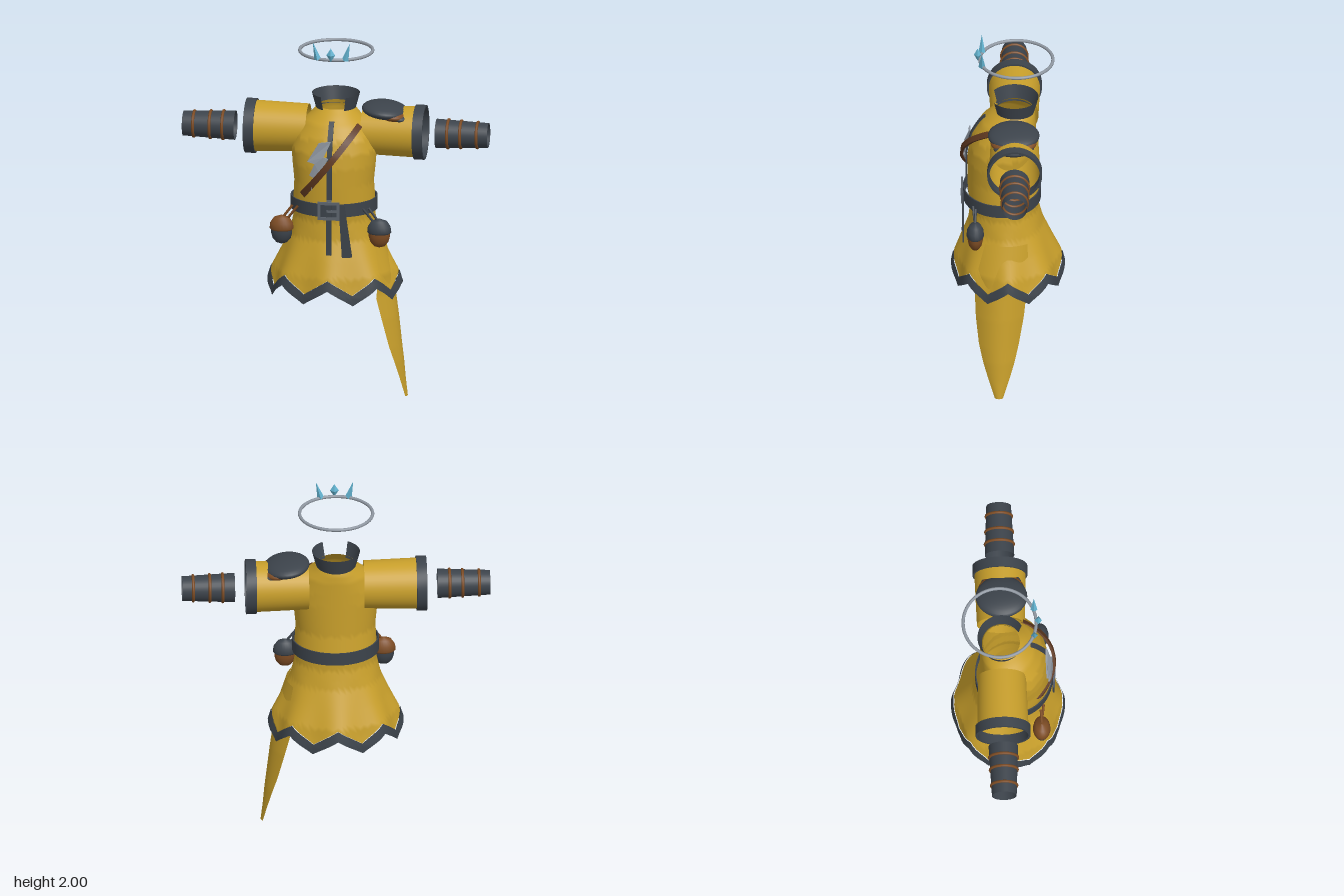
import * as THREE from 'three';
import { toCreasedNormals } from 'three/addons/utils/BufferGeometryUtils.js';
import { ParametricGeometry } from 'three/addons/geometries/ParametricGeometry.js';

const mat = (name, color) => {
  const m = new THREE.MeshStandardMaterial({ color, side: THREE.DoubleSide });
  m.name = name;
  return m;
};

// linear lookup in rows of [y, a, b, ...] sorted by falling y
function lookup(rows, y) {
  let i = 0;
  while (i < rows.length - 2 && y < rows[i + 1][0]) i++;
  const a = rows[i], b = rows[i + 1];
  const t = THREE.MathUtils.clamp((a[0] - y) / (a[0] - b[0]), 0, 1);
  return a.map((v, k) => v + (b[k] - v) * t);
}

// robe sections: y, half width, front z, back z
const ROBE = [
  [1.6, 0.1, 0.065, -0.135], [1.57, 0.125, 0.1, -0.145], [1.52, 0.178, 0.15, -0.15],
  [1.45, 0.215, 0.19, -0.15], [1.38, 0.232, 0.21, -0.15], [1.3, 0.226, 0.22, -0.15],
  [1.2, 0.216, 0.22, -0.15], [1.1, 0.222, 0.218, -0.165], [1.0, 0.222, 0.205, -0.165],
  [0.9, 0.245, 0.215, -0.19], [0.8, 0.287, 0.25, -0.235], [0.7, 0.333, 0.283, -0.28],
  [0.6, 0.36, 0.3, -0.3], [0.5, 0.375, 0.305, -0.305],
];

// point on the robe; the skirt has eight folds
function robePoint(angle, y, out, target) {
  const [, rx, zf, zb] = lookup(ROBE, y);
  const fold = 1 + 0.04 * THREE.MathUtils.clamp((0.95 - y) / 0.3, 0, 1) * Math.cos(8 * angle);
  target.set((rx * fold + out) * Math.sin(angle), y,
    (zf + zb) / 2 + ((zf - zb) / 2 * fold + out) * Math.cos(angle));
}

// front surface depth of the robe
function robeZ(x, y) {
  const [, rx, zf, zb] = lookup(ROBE, y);
  return (zf + zb) / 2 + (zf - zb) / 2 * Math.sqrt(Math.max(0, 1 - (x / rx) ** 2));
}

// zigzag lower edge with eight points
function hemY(angle) {
  const p = ((angle * 8 / (2 * Math.PI)) % 1 + 1) % 1;
  return 0.642 - 0.087 * (1 - Math.abs(2 * p - 1));
}

// straight strap seen from the front, with depth given by a rule
function strap(a, b, w0, w1, thick, zRule) {
  const len = Math.hypot(b[0] - a[0], b[1] - a[1]);
  const nx = -(b[1] - a[1]) / len, ny = (b[0] - a[0]) / len;
  const corners = [[-1, 0], [1, 0], [1, 1], [-1, 1], [-1, 0]];
  const geo = new ParametricGeometry((u, v, p) => {
    const [side, depth] = corners[Math.round(u * 4)] ;
    const w = side * (w0 + (w1 - w0) * v) / 2;
    const x = a[0] + (b[0] - a[0]) * v + nx * w, y = a[1] + (b[1] - a[1]) * v + ny * w;
    p.set(x, y, zRule(x, y, v) - depth * thick);
  }, 4, 28);
  return toCreasedNormals(geo, 0.6);
}

export function createModel() {
  const root = new THREE.Group();
  root.name = 'outfit';
  const yellow = mat('yellow cloth', 0xc89f2b), dark = mat('charcoal cloth', 0x3c434b);
  const brown = mat('brown leather', 0x7d4c24), darkBrown = mat('dark leather', 0x5e3820);
  const silver = mat('silver', 0x8f97a1), steel = mat('steel', 0x5d646d);
  const ice = mat('ice blue crystal', 0x62b2cf);
  const add = (name, geo, material, x = 0, y = 0, z = 0) => {
    const m = new THREE.Mesh(geo, material);
    m.name = name;
    m.position.set(x, y, z);
    root.add(m);
    return m;
  };
  const TAU = Math.PI * 2, BAND = 0.056;

  // robe body and hem border
  add('robe', new ParametricGeometry((u, v, p) => {
    const low = hemY(u * TAU) + BAND;
    robePoint(u * TAU, low + (1.6 - low) * v, 0, p);
  }, 96, 44), yellow);
  add('hemBorder', new ParametricGeometry((u, v, p) => {
    robePoint(u * TAU, hemY(u * TAU) + BAND * v, 0.004, p);
  }, 96, 3), dark);

  // collar, open at the front
  const gap = 0.55;
  add('collar', new THREE.CylinderGeometry(0.13, 0.106, 0.09, 40, 2, true, gap, TAU - 2 * gap),
    dark, 0, 1.625, -0.035);

  // belt
  const belt = add('belt', new THREE.LatheGeometry([[0.97, -0.036], [1, -0.036], [1, 0.036], [0.97, 0.036]]
    .map(([r, y]) => new THREE.Vector2(r, y)), 56), dark, 0, 1.08, 0.033);
  belt.geometry.scale(0.236, 1, 0.211);
  belt.geometry = toCreasedNormals(belt.geometry, 0.6);

  // buckle
  const rect = (C, w, h) => new C([[-w, -h], [w, -h], [w, h], [-w, h]].map(([x, y]) => new THREE.Vector2(x, y)));
  const frame = rect(THREE.Shape, 0.06, 0.05);
  frame.holes.push(rect(THREE.Path, 0.045, 0.035));
  add('buckleFrame', new THREE.ExtrudeGeometry(frame, { depth: 0.012, bevelEnabled: false }), steel, 0, 1.08, 0.243);
  add('bucklePin', new THREE.BoxGeometry(0.06, 0.012, 0.01), steel, 0.02, 1.08, 0.252);

  // straps on the front
  add('placket', strap([0, 1.55], [0, 0.83], 0.028, 0.028, 0.008,
    (x, y) => Math.max(robeZ(x, y) + 0.012, y < 1.13 ? 0.25 : 0)), dark);
  add('beltTail', strap([0.07, 1.11], [0.1, 0.82], 0.032, 0.056, 0.008, () => 0.247), dark);
  add('chestStrap', strap([0.148, 1.525], [-0.155, 1.145], 0.034, 0.034, 0.014,
    (x, y, t) => robeZ(x, y) + 0.014 + 0.028 * Math.sin(Math.PI * t)), darkBrown);

  // zigzag chest ornament, bent to the chest
  const bolt = new THREE.Shape([[-0.06, 1.45], [0.008, 1.46], [-0.03, 1.378], [-0.004, 1.37], [-0.05, 1.29],
    [-0.035, 1.284], [-0.1, 1.185], [-0.088, 1.262], [-0.11, 1.27], [-0.08, 1.338], [-0.122, 1.345]]
    .map(([x, y]) => new THREE.Vector2(x, y)));
  const boltGeo = new THREE.ExtrudeGeometry(bolt, { depth: 0.009, bevelEnabled: false });
  const bp = boltGeo.attributes.position;
  for (let i = 0; i < bp.count; i++) bp.setZ(i, bp.getZ(i) + robeZ(bp.getX(i), bp.getY(i)) + 0.02);
  boltGeo.computeVertexNormals();
  add('chestOrnament', boltGeo, silver);

  for (const s of [-1, 1]) {
    const side = s > 0 ? 'left' : 'right';
    // sleeve, cuff and forearm guard
    const along = (name, geo, material, x, y) => {
      add(side + name, geo, material, s * x, y, -0.035).rotation.z = -s * Math.PI / 2;
    };
    along('Sleeve', new THREE.CylinderGeometry(0.139, 0.13, 0.295, 40, 1, true), yellow, 0.2975, 1.464);
    const cuff = [[0.137, -0.028], [0.149, -0.028], [0.149, 0.028], [0.137, 0.028], [0.137, -0.028]];
    along('Cuff', toCreasedNormals(new THREE.LatheGeometry(cuff.map(([r, y]) => new THREE.Vector2(r, y)), 40), 0.6),
      dark, 0.462, 1.463);
    along('Bracer', new THREE.CylinderGeometry(0.067, 0.08, 0.285, 32, 1, true), dark, 0.692, 1.46);
    for (const x of [0.615, 0.685, 0.775]) {
      const ring = new THREE.TorusGeometry(0.08 - (x - 0.55) * 0.046, 0.008, 8, 32);
      add(side + 'BracerStrap', ring, brown, s * x, 1.46, -0.035).rotation.y = Math.PI / 2;
    }

    // acorn pouch on two cords; the two sides swap colours
    const lathe = (pts) => {
      const g = new THREE.LatheGeometry(pts.map(([r, y]) => new THREE.Vector2(r, y)), 24);
      g.scale(1, 1, 0.72);
      return g;
    };
    const x = s * 0.267;
    add(side + 'AcornCap', lathe([[0, 0.945], [0.055, 0.943], [0.066, 0.955], [0.062, 0.985], [0.042, 1.015], [0, 1.03]]),
      s < 0 ? brown : dark, x, 0, 0.178);
    add(side + 'AcornNut', lathe([[0, 0.866], [0.03, 0.876], [0.05, 0.9], [0.058, 0.93], [0.057, 0.955]]),
      s < 0 ? dark : brown, x, 0, 0.178);
    for (const d of [0, 0.03]) {
      const cord = new THREE.LineCurve3(new THREE.Vector3(s * (0.178 + d), 1.085, 0.19 - d * 0.5),
        new THREE.Vector3(s * (0.235 + d), 1.01, 0.18));
      add(side + 'AcornCord', new THREE.TubeGeometry(cord, 1, 0.007, 8), s < 0 ? brown : dark);
    }
  }

  // layered pad on the left shoulder
  const pads = [[dark, 0.268, 1.585, 0.125, 0.042, 0.14], [brown, 0.318, 1.568, 0.088, 0.036, 0.125],
    [dark, 0.355, 1.556, 0.07, 0.03, 0.11]];
  for (const [material, x, y, rx, ry, rz] of pads) {
    const pad = add('shoulderPad', new THREE.SphereGeometry(1, 32, 16), material, x, y, -0.03);
    pad.scale.set(rx, ry, rz);
    pad.rotation.z = -0.1;
  }

  // long cloth tail under the left skirt: y, outer x, edge x, centre z, half width
  const TAIL = [[0.88, 0.268, 0.235, 0.01, 0.115], [0.7, 0.322, 0.265, 0.03, 0.14], [0.58, 0.337, 0.25, 0.04, 0.14],
    [0.45, 0.355, 0.282, 0.045, 0.13], [0.3, 0.372, 0.318, 0.05, 0.108], [0.2, 0.384, 0.347, 0.05, 0.085],
    [0.1, 0.393, 0.372, 0.05, 0.055], [0, 0.405, 0.394, 0.05, 0.022]];
  add('clothTail', new ParametricGeometry((u, v, p) => {
    const [y, outer, edge, zc, w] = lookup(TAIL, 0.88 * v);
    const k = 1 - 2 * u;
    p.set(outer - (outer - edge) * k * k, y, zc + w * k);
  }, 16, 32), yellow);

  // circlet with three crystals
  add('circlet', new THREE.TorusGeometry(0.198, 0.009, 10, 64), silver, 0, 1.905, -0.045).rotation.x = Math.PI / 2;
  const gem = new THREE.OctahedronGeometry(1);
  gem.scale(0.024, 0.038, 0.02);
  add('middleCrystal', toCreasedNormals(gem, 0.2), ice, 0, 1.936, 0.165);
  for (const s of [-1, 1]) {
    const spike = new THREE.ConeGeometry(0.019, 0.1, 4);
    add('sideCrystal', toCreasedNormals(spike, 0.2), ice, s * 0.088, 1.952, 0.142).rotation.z = -s * 0.27;
  }
  return root;
}
